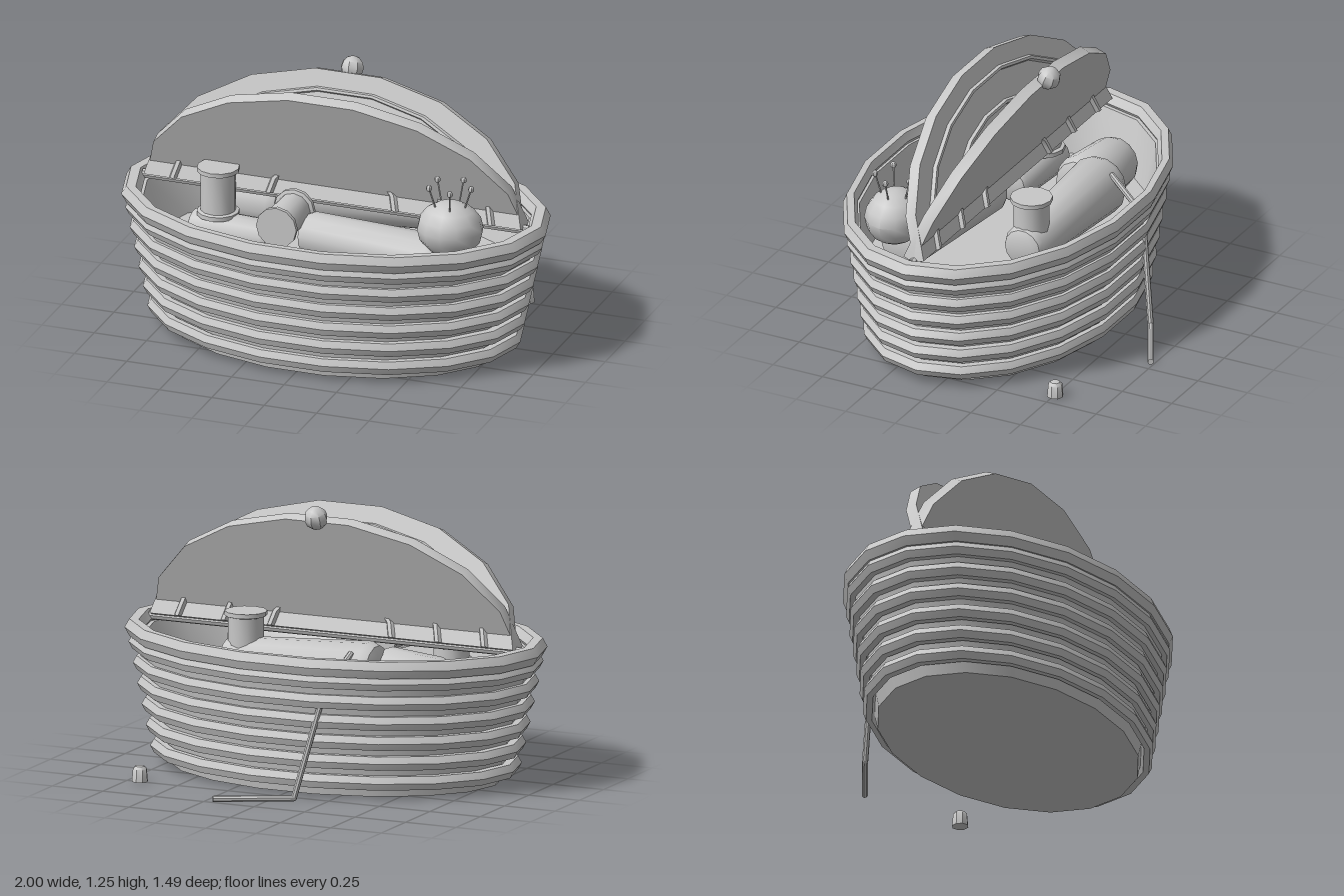
import * as THREE from 'three';
import { toCreasedNormals } from 'three/addons/utils/BufferGeometryUtils.js';

const SIDES = 18, OVAL = 0.657, CENTRE_Z = 0.0925;

export function createModel() {
  const model = new THREE.Group();
  model.name = 'sewingBasket';
  const grey = new THREE.MeshStandardMaterial({ color: 0xc8c8c8 });
  grey.name = 'grey';

  const add = (parent, name, geometry, x = 0, y = 0, z = 0) => {
    const mesh = new THREE.Mesh(toCreasedNormals(geometry, 0.7), grey);
    mesh.name = name;
    mesh.position.set(x, y, z);
    parent.add(mesh);
    return mesh;
  };
  const lathe = (points, sides, start = 0) =>
    new THREE.LatheGeometry(points.map(p => new THREE.Vector2(...p)), sides, start);

  // Turns a part built along +y so that it runs from a to b
  const aim = (mesh, a, b) => {
    const from = new THREE.Vector3(...a), dir = new THREE.Vector3(...b).sub(from);
    mesh.position.copy(from);
    mesh.quaternion.setFromUnitVectors(new THREE.Vector3(0, 1, 0), dir.normalize());
    return mesh;
  };
  const gap = (a, b) => new THREE.Vector3(...a).distanceTo(new THREE.Vector3(...b));

  // Straight round rod between two points
  const rod = (parent, name, a, b, r, sides = 8) => {
    const len = gap(a, b);
    aim(add(parent, name, new THREE.CylinderGeometry(r, r, len, sides).translate(0, len / 2, 0)), a, b);
  };

  // Rolled cloth with rounded ends, radius ra at a and rb at b
  const roll = (name, a, b, ra, rb) => {
    const len = gap(a, b);
    const profile = [[0, 0], [ra * 0.6, 0], [ra * 0.88, ra * 0.12], [ra, ra * 0.4],
      [rb, len - rb * 0.4], [rb * 0.88, len - rb * 0.12], [rb * 0.6, len], [0, len]];
    aim(add(model, name, lathe(profile, 14)), a, b);
  };

  // Thread spool with a flange at each end
  const spool = (name, a, b) => {
    const len = gap(a, b), f = 0.096, c = 0.08;
    const profile = [[0, 0], [f, 0], [f, 0.02], [c, 0.025], [c, len - 0.025], [f, len - 0.02], [f, len], [0, len]];
    aim(add(model, name, lathe(profile, 12)), a, b);
  };

  // Oval basket: walls, inner floor, coiled rings and rim
  const basket = new THREE.Group();
  basket.name = 'basket';
  basket.position.z = CENTRE_Z;
  model.add(basket);
  const wall = [[0, 0.01], [0.79, 0.01], [0.955, 0.6], [0.9, 0.6], [0.83, 0.38], [0, 0.38]];
  add(basket, 'basketWall', lathe(wall, SIDES, Math.PI / 2).scale(1, 1, OVAL));
  const ring = (name, y, radius, tube) =>
    add(basket, name, new THREE.TorusGeometry(radius, tube, 6, SIDES).rotateX(Math.PI / 2).scale(1, 1, OVAL), 0, y);
  for (let i = 0; i < 6; i++) ring('basketCoil', 0.08 + i * 0.094, 0.843 + i * 0.0205, 0.036);
  ring('rim', 0.615, 0.955, 0.045);
  rod(basket, 'hingeRod', [-0.92, 0.63, 0], [0.92, 0.63, 0], 0.022);

  // Two half lids standing open in a V
  const thick = 0.054, outline = new THREE.Shape();
  for (let i = 0; i <= SIDES / 2; i++) {
    const t = i * 2 * Math.PI / SIDES, x = 0.9 * Math.cos(t), y = 0.9 * OVAL * Math.sin(t);
    i ? outline.lineTo(x, y) : outline.moveTo(x, y);
  }
  outline.closePath();
  ['frontLid', 'backLid'].forEach((name, i) => {
    const side = new THREE.Group(), lid = new THREE.Group();
    side.name = name;
    side.rotation.y = i * Math.PI;
    lid.position.y = 0.63;
    lid.rotation.x = 20 * Math.PI / 180;
    side.add(lid);
    basket.add(side);
    add(lid, 'lidPanel', new THREE.ExtrudeGeometry(outline, { depth: thick, bevelEnabled: false }), 0, 0, -thick);
    for (const r of [0.76, 0.53, 0.3])
      add(lid, 'lidCoil', new THREE.TorusGeometry(r, 0.018, 6, SIDES / 2, Math.PI).scale(1, OVAL, 1), 0, 0, -thick);
    if (i) add(lid, 'lidKnob', new THREE.SphereGeometry(0.054, 8, 6), 0, 0.605, 0);
  });

  // Cloth rolls and spools
  roll('backClothRoll', [-0.36, 0.54, -0.2], [0.41, 0.54, -0.19], 0.14, 0.1);
  roll('sideClothRoll', [-0.66, 0.5, -0.12], [-0.3, 0.5, -0.1], 0.12, 0.14);
  roll('frontClothRoll', [0.6, 0.52, 0.33], [-0.1, 0.52, 0.22], 0.12, 0.1);
  roll('smallClothRoll', [-0.65, 0.46, 0.19], [-0.25, 0.46, 0.22], 0.085, 0.085);
  spool('frontSpool', [-0.525, 0.53, 0.19], [-0.525, 0.762, 0.19]);
  spool('backSpool', [0.31, 0.53, -0.19], [0.31, 0.762, -0.19]);
  spool('lyingSpool', [-0.16, 0.61, 0.18], [-0.16, 0.61, 0.425]);

  // Pincushion with five ball-headed pins
  const cushion = new THREE.Group();
  cushion.name = 'pincushion';
  cushion.position.set(0.633, 0.69, 0.325);
  model.add(cushion);
  add(cushion, 'cushion', new THREE.SphereGeometry(1, 12, 8).scale(0.153, 0.128, 0.137));
  for (let i = 0; i < 5; i++) {
    const t = i * 2 * Math.PI / 5, c = Math.cos(t), s = Math.sin(t);
    const head = [c * 0.1, 0.203, s * 0.092];
    rod(cushion, 'pin', [c * 0.065, 0.09, s * 0.06], head, 0.004, 5);
    add(cushion, 'pinHead', new THREE.SphereGeometry(0.015, 6, 5), ...head);
  }

  // Loose thread running through the wall and along the ground
  const thread = [[-0.26, 0.64, -0.29], [-0.215, 0.5, -0.475], [-0.11, 0.018, -0.57], [0.21, 0.018, -0.74]];
  for (let i = 0; i < 3; i++) rod(model, 'thread', thread[i], thread[i + 1], 0.014);
  add(model, 'threadBend', new THREE.SphereGeometry(0.014, 8, 6), ...thread[2]);

  // Thimble standing behind the basket
  add(model, 'thimble', lathe([[0, 0.008], [0.038, 0.008], [0.033, 0.065], [0.022, 0.078], [0, 0.082]], 8), 0.683, 0, -0.508);
  return model;
}
